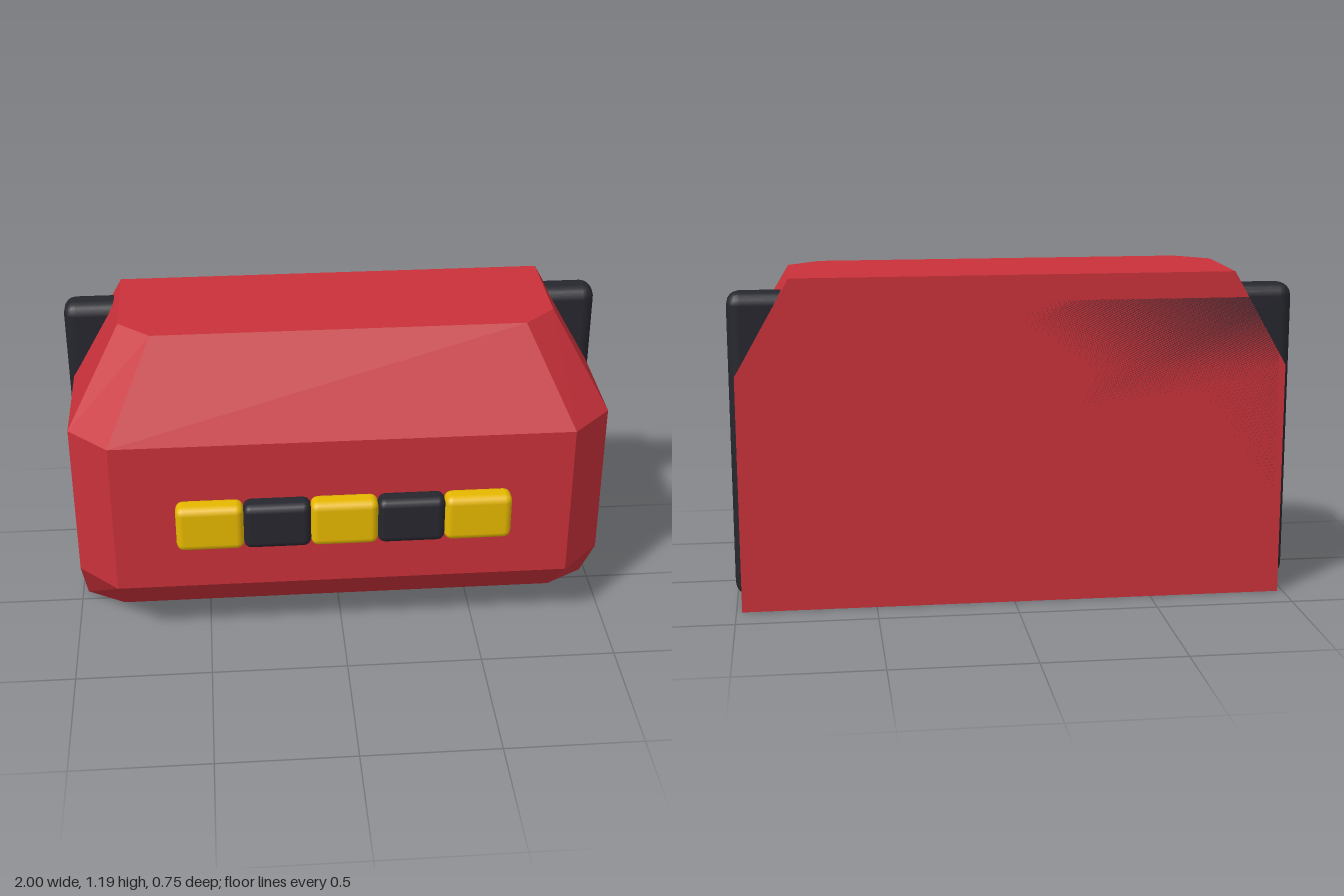
import * as THREE from 'three';
import { RoundedBoxGeometry } from 'three/addons/geometries/RoundedBoxGeometry.js';

const BACK = -0.375;

// Faceted hull lofted through horizontal rings; each level gives
// height, side width, side corner depth, front width, front depth
function hullGeometry(levels) {
  const rings = levels.map(([y, xs, zs, xf, zf]) => [
    [xs, y, BACK], [xs, y, zs], [xf, y, zf],
    [-xf, y, zf], [-xs, y, zs], [-xs, y, BACK],
  ]);
  const pos = [];
  const tri = (a, b, c) => pos.push(...a, ...b, ...c);
  for (let i = 0; i < rings.length - 1; i++) {
    const lo = rings[i], hi = rings[i + 1];
    for (let j = 0; j < 6; j++) {
      const k = (j + 1) % 6;
      tri(lo[j], hi[j], lo[k]);
      tri(lo[k], hi[j], hi[k]);
    }
  }
  // Bottom and top caps
  const bottom = rings[0], top = rings[rings.length - 1];
  for (let j = 1; j < 5; j++) {
    tri(bottom[0], bottom[j], bottom[j + 1]);
    tri(top[0], top[j + 1], top[j]);
  }
  const geo = new THREE.BufferGeometry();
  geo.setAttribute('position', new THREE.Float32BufferAttribute(pos, 3));
  geo.computeVertexNormals();
  return geo;
}

export function createModel() {
  const model = new THREE.Group();
  const mat = (name, color) => {
    const m = new THREE.MeshStandardMaterial({ color });
    m.name = name;
    return m;
  };
  const red = mat('red shell', 0xc9313a);
  const dark = mat('charcoal', 0x26262e);
  const yellow = mat('yellow', 0xe6b800);

  const add = (name, geo, material, x = 0, y = 0, z = 0) => {
    const mesh = new THREE.Mesh(geo, material);
    mesh.name = name;
    mesh.position.set(x, y, z);
    model.add(mesh);
  };

  // Chamfered main body
  add('body', hullGeometry([
    [0, 0.98, -0.05, 0.835, 0.035],
    [0.257, 0.98, 0.16, 0.835, 0.305],
    [0.852, 0.98, 0.16, 0.835, 0.305],
    [1.193, 0.785, 0, 0.67, 0.105],
  ]), red);

  // Rounded slab set flush with the back of the body, showing past both sides
  const depth = 0.125;
  add('backPlate', new RoundedBoxGeometry(2, 1.09, depth, 2, 0.045), dark, 0, 0.6, BACK + depth / 2);

  // Row of alternating blocks on the front
  for (let i = -2; i <= 2; i++) {
    const geo = new RoundedBoxGeometry(0.244, 0.18, 0.085, 2, 0.028);
    add('frontBlock' + (i + 3), geo, i % 2 ? dark : yellow, i * 0.243, 0.54, 0.3325);
  }
  return model;
}
